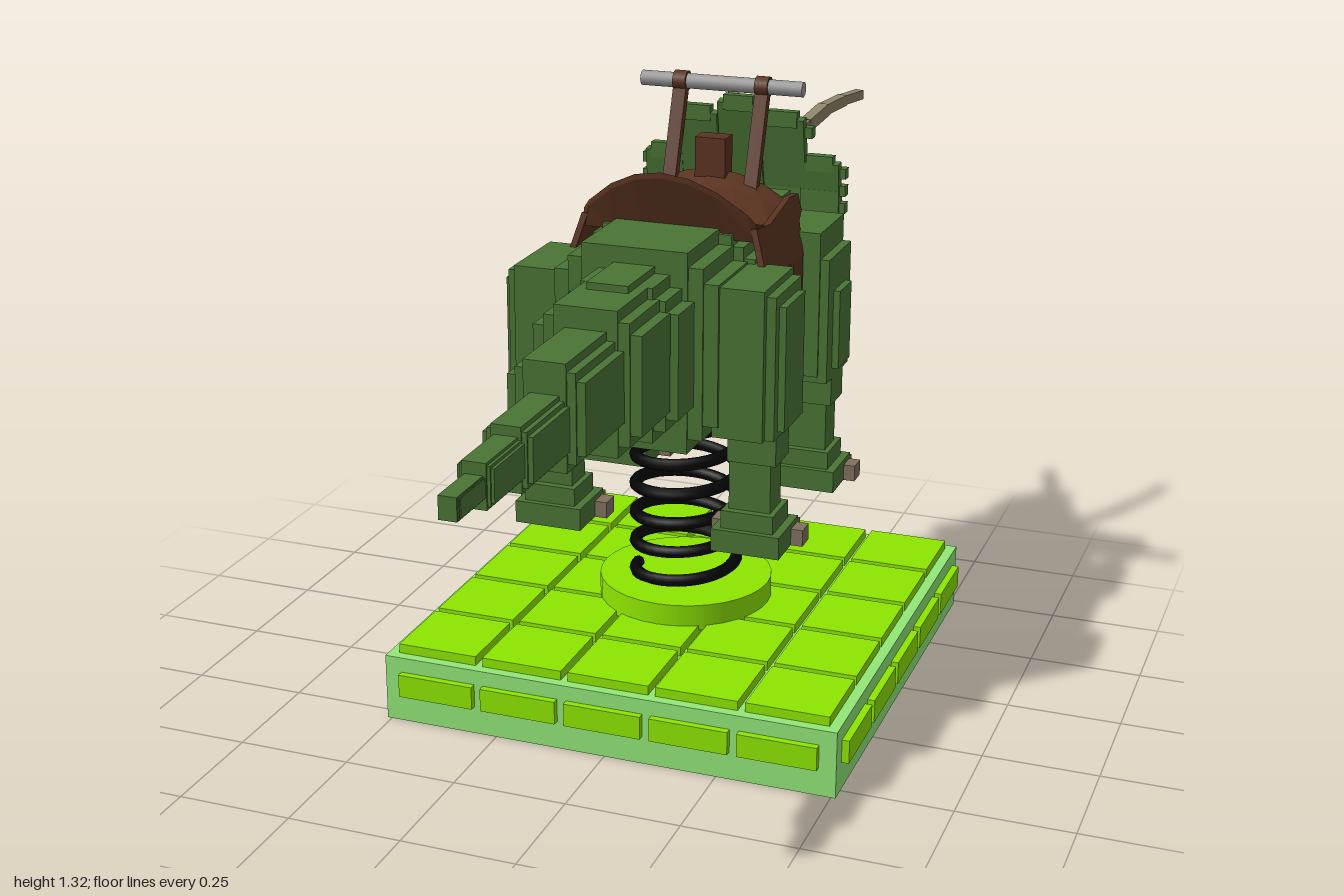
import * as THREE from 'three';

const mat = (name, color) => {
  const m = new THREE.MeshStandardMaterial({ color });
  m.name = name;
  return m;
};

export function createModel() {
  const model = new THREE.Group();
  model.name = 'springRider';

  const green = mat('skinGreen', 0x4a7434);
  const mint = mat('baseMint', 0x92e878);
  const lime = mat('tileLime', 0x8ee600);
  const black = mat('springBlack', 0x040404);
  const brown = mat('saddleBrown', 0x5a3320);
  brown.side = THREE.DoubleSide;
  const bone = mat('toeBone', 0x807060);
  const horn = mat('hornTan', 0x8c8468);
  const grey = mat('barGrey', 0x989898);
  const pale = mat('eyePale', 0xb4b4b0);

  const group = (name) => {
    const g = new THREE.Group();
    g.name = name;
    model.add(g);
    return g;
  };
  const add = (parent, name, geo, material, x = 0, y = 0, z = 0) => {
    const m = new THREE.Mesh(geo, material);
    m.name = name;
    m.position.set(x, y, z);
    parent.add(m);
    return m;
  };
  // Box given by its extents
  const box = (parent, name, material, x0, x1, y0, y1, z0, z1) =>
    add(parent, name, new THREE.BoxGeometry(x1 - x0, y1 - y0, z1 - z0), material,
      (x0 + x1) / 2, (y0 + y1) / 2, (z0 + z1) / 2);
  const pair = (parent, name, material, x0, x1, ...yz) => {
    box(parent, name, material, x0, x1, ...yz);
    box(parent, name, material, -x1, -x0, ...yz);
  };
  // Body block with stepped corners: tall core, middle block and wide core
  const stepped = (parent, name, w, y0, y1, z0, z1, step) => {
    box(parent, name, green, -w + 2 * step, w - 2 * step, y0, y1, z0, z1);
    box(parent, name, green, -w + step, w - step, y0 + step, y1 - step, z0 + 0.004, z1 - 0.004);
    box(parent, name, green, -w, w, y0 + 2 * step, y1 - 2 * step, z0 + 0.008, z1 - 0.008);
  };
  // Square bar between two points
  const bar = (parent, name, material, a, b, w, d = w) => {
    const p = new THREE.Vector3(...a), q = new THREE.Vector3(...b);
    const m = add(parent, name, new THREE.BoxGeometry(w, d, p.distanceTo(q)), material);
    m.position.addVectors(p, q).multiplyScalar(0.5);
    m.lookAt(q);
  };

  // Tiled base
  const CZ = -0.225;
  const base = group('base');
  box(base, 'baseSlab', mint, -0.51, 0.51, 0, 0.15, CZ - 0.51, CZ + 0.51);
  for (let i = -2; i <= 2; i++) {
    for (let j = -2; j <= 2; j++) {
      add(base, 'topTile', new THREE.BoxGeometry(0.182, 0.022, 0.182), lime, i * 0.198, 0.16, CZ + j * 0.198);
    }
    for (const s of [-1, 1]) {
      add(base, 'edgeTile', new THREE.BoxGeometry(0.173, 0.052, 0.02), lime, i * 0.193, 0.09, CZ + s * 0.516);
      add(base, 'edgeTile', new THREE.BoxGeometry(0.02, 0.052, 0.173), lime, s * 0.516, 0.09, CZ + i * 0.193);
    }
  }

  // Coil spring between two round plates
  const spring = group('spring');
  add(spring, 'lowerPlate', new THREE.CylinderGeometry(0.195, 0.195, 0.06, 32), lime, 0, 0.19, CZ);
  add(spring, 'upperPlate', new THREE.CylinderGeometry(0.165, 0.165, 0.042, 32), lime, 0, 0.656, CZ + 0.025);
  const coil = new THREE.Curve();
  coil.getPoint = (t, v = new THREE.Vector3()) => {
    const a = t * Math.PI * 2 * 6;
    return v.set(-Math.cos(a) * 0.115, 0.225 + t * 0.415, CZ + Math.sin(a) * 0.115);
  };
  add(spring, 'coil', new THREE.TubeGeometry(coil, 192, 0.014, 8), black);

  // Torso and neck
  const torso = group('torso');
  stepped(torso, 'hips', 0.18, 0.635, 1.07, -0.1, 0.1, 0.032);
  stepped(torso, 'belly', 0.195, 0.675, 1.06, -0.36, -0.09, 0.025);
  stepped(torso, 'chest', 0.18, 0.675, 1.05, -0.53, -0.35, 0.022);
  stepped(torso, 'neckRing', 0.15, 0.74, 1.0, -0.57, -0.52, 0.02);
  stepped(torso, 'neck', 0.115, 0.77, 1.02, -0.64, -0.56, 0.02);

  // Tail: half width, bottom, top, near z, far z, corner step
  const tail = group('tail');
  [[0.13, 0.69, 1.02, 0.09, 0.2, 0.026], [0.115, 0.715, 1.02, 0.19, 0.365, 0.024],
    [0.08, 0.755, 0.975, 0.355, 0.57, 0.018], [0.05, 0.78, 0.91, 0.56, 0.75, 0.01],
    [0.036, 0.8, 0.89, 0.74, 0.89, 0.006], [0.022, 0.82, 0.866, 0.88, 1, 0.002],
  ].forEach((s) => stepped(tail, 'tailSegment', ...s));
  box(tail, 'tailRidge', green, -0.045, 0.045, 0.98, 1.035, 0.1, 0.25);

  // Legs: the same shin, foot and toes under hip and shoulder blocks
  const legs = group('legs');
  pair(legs, 'hip', green, 0.165, 0.275, 0.675, 1.0, -0.11, 0.085);
  pair(legs, 'thigh', green, 0.178, 0.295, 0.675, 0.985, -0.105, 0.068);
  pair(legs, 'thighPlate', green, 0.2, 0.31, 0.69, 0.96, -0.083, 0.045);
  pair(legs, 'shoulder', green, 0.165, 0.265, 0.68, 1.01, -0.52, -0.34);
  pair(legs, 'upperForeleg', green, 0.178, 0.285, 0.665, 0.95, -0.515, -0.345);
  pair(legs, 'forelegPlate', green, 0.2, 0.3, 0.69, 0.87, -0.475, -0.385);
  for (const z of [-0.025, -0.43]) {
    pair(legs, 'knee', green, 0.178, 0.285, 0.6, 0.69, z - 0.045, z + 0.045);
    pair(legs, 'shin', green, 0.18, 0.272, 0.47, 0.62, z - 0.037, z + 0.037);
    pair(legs, 'ankle', green, 0.168, 0.284, 0.445, 0.49, z - 0.054, z + 0.054);
    pair(legs, 'foot', green, 0.15, 0.302, 0.4, 0.45, z - 0.07, z + 0.067);
    for (const x of [0.17, 0.226, 0.282]) pair(legs, 'toe', bone, x - 0.02, x + 0.02, 0.4, 0.44, z - 0.085, z - 0.045);
    pair(legs, 'outerToe', bone, 0.29, 0.328, 0.4, 0.437, z - 0.065, z - 0.02);
    pair(legs, 'innerToe', bone, 0.122, 0.16, 0.4, 0.437, z - 0.065, z - 0.02);
  }

  // Neck frill: broad bent panels, each with a cap on the rim
  const frill = group('frill');
  [[0, 1.235, 0.1, 0.88], [0.103, 1.205, 0.1, 0.9], [0.187, 1.105, 0.09, 0.95]].forEach(([x, top, w, low], i) => {
    for (const s of i ? [-1, 1] : [1]) {
      const zTop = -0.565 - (1.235 - top) * 0.2, zLow = -0.61 + i * 0.004;
      bar(frill, 'frillPanel', green, [s * x, 1.03, zLow], [s * x, top, zTop], w, 0.024);
      box(frill, 'frillLower', green, s * x - w / 2, s * x + w / 2, low, 1.04, zLow - 0.014, zLow + 0.014);
      box(frill, 'frillCap', green, s * x - w * 0.35, s * x + w * 0.35, top - 0.02, top + 0.016, zTop - 0.012, zTop + 0.012);
    }
  });
  pair(frill, 'rimKnob', green, 0.15, 0.17, 1.16, 1.185, -0.6, -0.575);
  for (const y of [1.0, 1.04, 1.08]) pair(frill, 'rimKnob', green, 0.225, 0.245, y - 0.012, y + 0.012, -0.62, -0.595);

  // Head
  const head = group('head');
  stepped(head, 'skull', 0.1, 0.755, 1.06, -0.7, -0.61, 0.014);
  stepped(head, 'cheeks', 0.088, 0.79, 1.055, -0.775, -0.69, 0.012);
  box(head, 'upperMuzzle', green, -0.065, 0.065, 0.87, 1.02, -0.84, -0.76);
  box(head, 'snout', green, -0.052, 0.052, 0.9, 1.0, -0.91, -0.83);
  box(head, 'lowerMuzzle', green, -0.058, 0.058, 0.79, 0.865, -0.83, -0.76);
  box(head, 'jaw', green, -0.045, 0.045, 0.835, 0.885, -0.91, -0.82);
  box(head, 'noseTip', green, -0.03, 0.03, 0.91, 0.99, -0.93, -0.9);
  box(head, 'noseHorn', bone, -0.017, 0.017, 0.98, 1.045, -0.94, -0.905);
  box(head, 'upperBeak', bone, -0.034, 0.034, 0.905, 0.985, -0.95, -0.905);
  box(head, 'beakHook', bone, -0.018, 0.018, 0.89, 0.95, -0.965, -0.94);
  box(head, 'lowerBeak', bone, -0.03, 0.03, 0.85, 0.884, -0.965, -0.9);
  pair(head, 'brow', green, 0.06, 0.1, 1.0, 1.035, -0.775, -0.7);
  pair(head, 'eye', pale, 0.086, 0.095, 0.975, 0.999, -0.755, -0.72);
  pair(head, 'pupil', black, 0.088, 0.097, 0.98, 0.992, -0.753, -0.741);

  // Brow horns in tapering straight pieces, darker at the root
  const horns = group('horns');
  const path = [[0.04, 1.055, -0.68], [0.065, 1.1, -0.74], [0.09, 1.14, -0.8], [0.113, 1.165, -0.865],
    [0.138, 1.175, -0.93], [0.16, 1.176, -1]];
  for (const s of [-1, 1]) {
    for (let i = 0; i < 5; i++) {
      const [a, b] = [path[i], path[i + 1]].map(([x, y, z]) => [s * x, y, z]);
      bar(horns, 'hornPiece', i < 2 ? bone : horn, a, b, 0.034 - i * 0.003);
    }
  }

  // Saddle seat lofted along z: z, half width, centre y, edge y, underside y
  const saddle = group('saddle');
  const rows = [[-0.055, 0.178, 1.19, 1.105, -1], [-0.105, 0.193, 1.135, 1.085, 1.045], [-0.185, 0.195, 1.075, 1.06, 1.03],
    [-0.335, 0.19, 1.098, 1.06, 1.03], [-0.395, 0.175, 1.12, 1.06, 1.03]];
  const pos = [], idx = [], N = 7;
  rows.forEach(([z, w, c, e, under], r) => {
    for (let k = 0; k < 2 * N; k++) {
      const top = k < N;
      const u = ((top ? k : 2 * N - 1 - k) / (N - 1)) * 2 - 1;
      const y = e + (c - e) * (1 - u * u);
      pos.push(u * w, top ? y : under < 0 ? y - 0.012 : under, z + (r === 0 ? -0.04 * u * u : 0));
      if (r < rows.length - 1) {
        const a = r * 2 * N + k, b = r * 2 * N + ((k + 1) % (2 * N));
        idx.push(a, b, a + 2 * N, b, b + 2 * N, a + 2 * N);
      }
    }
  });
  for (const o of [0, (rows.length - 1) * 2 * N]) {
    for (let k = 0; k < N - 1; k++) {
      const a = o + k, b = o + 2 * N - 1 - k;
      idx.push(...(o ? [a, a + 1, b, a + 1, b - 1, b] : [a, b, a + 1, a + 1, b, b - 1]));
    }
  }
  const seat = new THREE.BufferGeometry();
  seat.setAttribute('position', new THREE.Float32BufferAttribute(pos, 3));
  seat.setIndex(idx);
  const seatFlat = seat.toNonIndexed();
  seatFlat.computeVertexNormals();
  add(saddle, 'seat', seatFlat, brown);
  box(saddle, 'pommel', brown, -0.035, 0.035, 1.08, 1.195, -0.415, -0.365);

  // Side flaps and stirrups, flared outwards
  const poly = (pts) => new THREE.Shape(pts.map(([z, y]) => new THREE.Vector2(-z, y)));
  const flap = poly([[-0.1, 1.075], [-0.08, 0.97], [-0.245, 0.965], [-0.28, 0.88], [-0.335, 0.88], [-0.335, 0.965],
    [-0.36, 1.03], [-0.39, 1.045], [-0.395, 1.08], [-0.34, 1.085], [-0.185, 1.065]]);
  const stirrup = poly([[-0.28, 0.89], [-0.25, 0.79], [-0.26, 0.755], [-0.325, 0.755], [-0.335, 0.79], [-0.33, 0.89]]);
  stirrup.holes.push(poly([[-0.295, 0.83], [-0.272, 0.78], [-0.315, 0.78], [-0.312, 0.83]]));
  for (const [name, shape, depth] of [['flap', flap, 0.014], ['stirrup', stirrup, 0.016]]) {
    for (const s of [-1, 1]) {
      const geo = new THREE.ExtrudeGeometry(shape, { depth, bevelEnabled: false });
      geo.rotateY(Math.PI / 2);
      const p = geo.attributes.position;
      for (let i = 0; i < p.count; i++) {
        const flare = 0.178 + 0.036 * Math.min(1, (1.09 - p.getY(i)) / 0.12);
        p.setX(i, s * (p.getX(i) + flare));
      }
      if (s < 0) {
        for (let i = 0; i < p.count; i += 3) {
          const a = new THREE.Vector3().fromBufferAttribute(p, i), b = new THREE.Vector3().fromBufferAttribute(p, i + 1);
          p.setXYZ(i, b.x, b.y, b.z);
          p.setXYZ(i + 1, a.x, a.y, a.z);
        }
      }
      geo.computeVertexNormals();
      add(saddle, name, geo, brown);
    }
  }

  // Handlebar on two leaning posts
  const handle = group('handle');
  for (const s of [-1, 1]) {
    bar(handle, 'handlePost', brown, [s * 0.095, 1.06, -0.36], [s * 0.095, 1.3, -0.445], 0.03, 0.022);
    add(handle, 'handleClamp', new THREE.CylinderGeometry(0.023, 0.023, 0.03, 12), brown, s * 0.095, 1.3, -0.445).rotation.z = Math.PI / 2;
  }
  add(handle, 'handleBar', new THREE.CylinderGeometry(0.017, 0.017, 0.375, 16), grey, 0, 1.3, -0.445).rotation.z = Math.PI / 2;

  return model;
}
